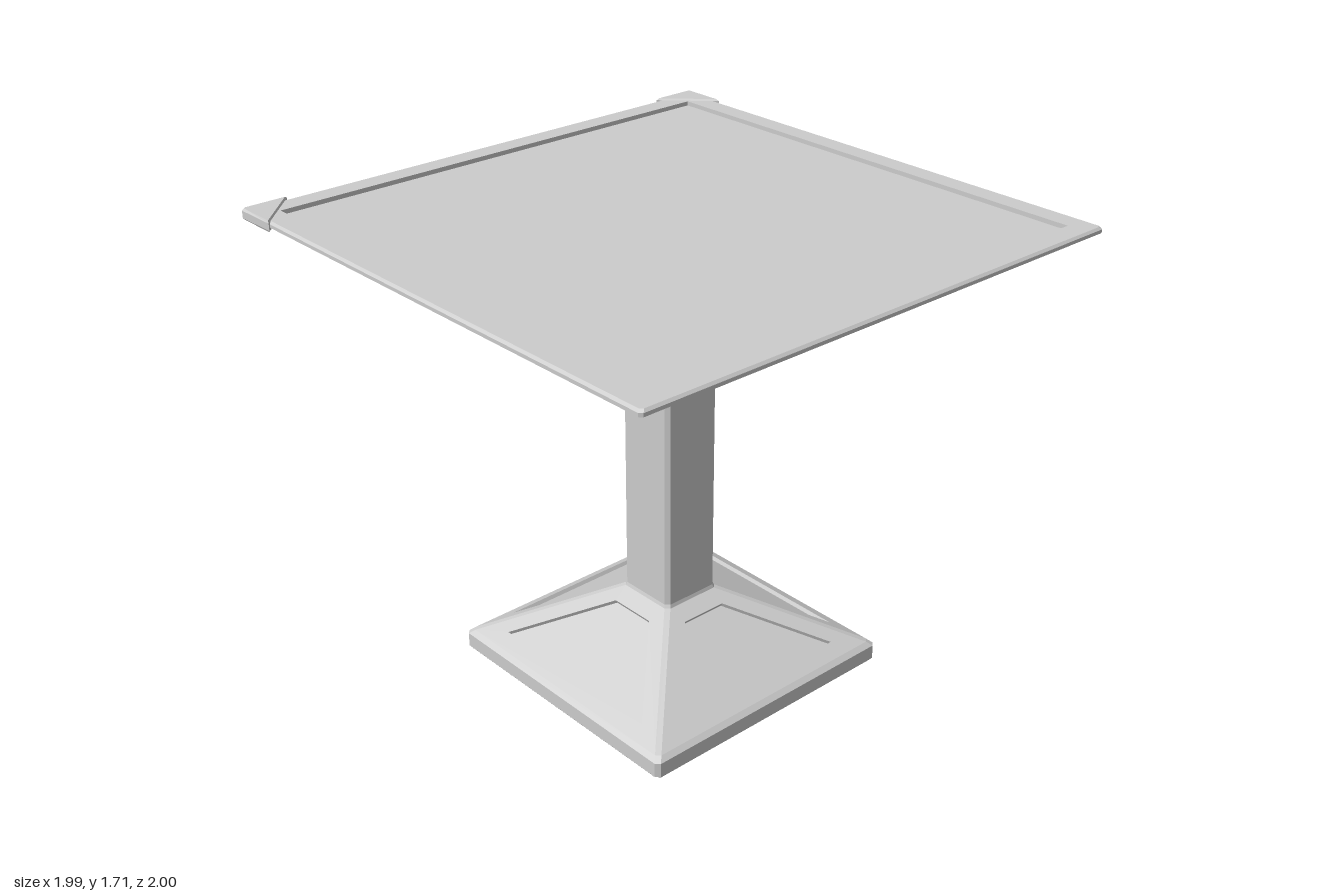
import * as THREE from 'three';

const material = new THREE.MeshStandardMaterial({ color: 0xcccccc, flatShading: true });

// Square outline with chamfered corners, half width h, height y, chamfer c
function square(h, y, c) {
  const k = h - c;
  return [[-k, y, h], [k, y, h], [h, y, k], [h, y, -k], [k, y, -h], [-k, y, -h], [-h, y, -k], [-h, y, k]];
}

// Skin a list of equal-length closed loops, with optional flat caps
function loft(name, loops, capStart, capEnd) {
  const pos = [];
  const n = loops[0].length;
  const cap = (l) => {
    for (let i = 1; i < n - 1; i++) pos.push(...l[0], ...l[i], ...l[i + 1]);
  };
  for (let k = 0; k < loops.length - 1; k++) {
    for (let i = 0; i < n; i++) {
      const j = (i + 1) % n;
      const a = loops[k][i], b = loops[k][j], c = loops[k + 1][j], d = loops[k + 1][i];
      pos.push(...a, ...b, ...c, ...a, ...c, ...d);
    }
  }
  if (capStart) cap([...loops[0]].reverse());
  if (capEnd) cap(loops[loops.length - 1]);
  const geo = new THREE.BufferGeometry();
  geo.setAttribute('position', new THREE.Float32BufferAttribute(pos, 3));
  geo.computeVertexNormals();
  const mesh = new THREE.Mesh(geo, material);
  mesh.name = name;
  return mesh;
}

const squares = (list) => list.map(([h, y, c]) => square(h, y, c));

// One sloping side of the foot with a recessed trapezoid panel and its corner strip
function footSide() {
  const side = new THREE.Group();
  side.name = 'footSide';
  const h0 = 0.515, y0 = 0.08, h1 = 0.12, y1 = 0.295, c = 0.015;
  const zAt = (y) => h0 + (h1 - h0) * (y - y0) / (y1 - y0);
  const trapezoid = (w0, ya, w1, yb) =>
    [[-w0, ya, zAt(ya)], [w0, ya, zAt(ya)], [w1, yb, zAt(yb)], [-w1, yb, zAt(yb)]];
  const outer = trapezoid(h0 - c, y0, h1 - c, y1);
  const inner = trapezoid(0.37, 0.11, 0.09, 0.262);
  const floor = inner.map(([x, y, z]) => [x, y - 0.013, z - 0.007]);
  side.add(loft('recessedPanel', [outer, inner, floor], false, true));
  const strip = [[h0 - c, y0, h0], [h0, y0, h0 - c], [h1, y1, h1 - c], [h1 - c, y1, h1]];
  side.add(loft('cornerStrip', [strip], false, true));
  return side;
}

// Triangular guard wrapped over a table corner
function cornerGuard(sign) {
  const shape = new THREE.Shape();
  const s = 0.007, o = 0.993, e = 0.835;
  shape.moveTo(-o, sign * e);
  shape.lineTo(-o, sign * (o - s));
  shape.lineTo(-o + s, sign * o);
  shape.lineTo(-e, sign * o);
  shape.closePath();
  const geo = new THREE.ExtrudeGeometry(shape, {
    depth: 0.026, bevelEnabled: true, bevelSize: 0.007, bevelThickness: 0.007, bevelSegments: 1,
  });
  geo.rotateX(-Math.PI / 2);
  geo.translate(0, 1.674, 0);
  const mesh = new THREE.Mesh(geo, material);
  mesh.name = 'cornerGuard';
  return mesh;
}

export function createModel() {
  const table = new THREE.Group();
  table.name = 'pedestalTable';

  // Foot: low plinth and four sloping panelled sides
  const foot = new THREE.Group();
  foot.name = 'foot';
  foot.add(loft('plinth', squares([
    [0.525, 0, 0.015], [0.533, 0.01, 0.015], [0.533, 0.064, 0.015], [0.515, 0.08, 0.015],
  ]), true, false));
  for (let i = 0; i < 4; i++) {
    const side = footSide();
    side.rotation.y = i * Math.PI / 2;
    foot.add(side);
  }

  // Column, flared slightly where it meets the foot and the top
  const column = loft('column', squares([
    [0.12, 0.295, 0.015], [0.116, 0.308, 0.015], [0.116, 1.585, 0.015], [0.127, 1.597, 0.015],
  ]), false, false);

  // Table top: tapered underside, bevelled edge, rim and shallow recess
  const top = loft('tableTop', squares([
    [0.127, 1.597, 0.015], [0.975, 1.672, 0.01], [0.987, 1.68, 0.01], [0.987, 1.692, 0.01],
    [0.979, 1.7, 0.01], [0.905, 1.7, 0.001], [0.905, 1.684, 0.001],
  ]), false, true);

  table.add(foot, column, top, cornerGuard(1), cornerGuard(-1));
  // Balance the overhang of the guards on the right edge
  table.children.forEach((part) => { part.position.x = 0.006; });
  return table;
}
